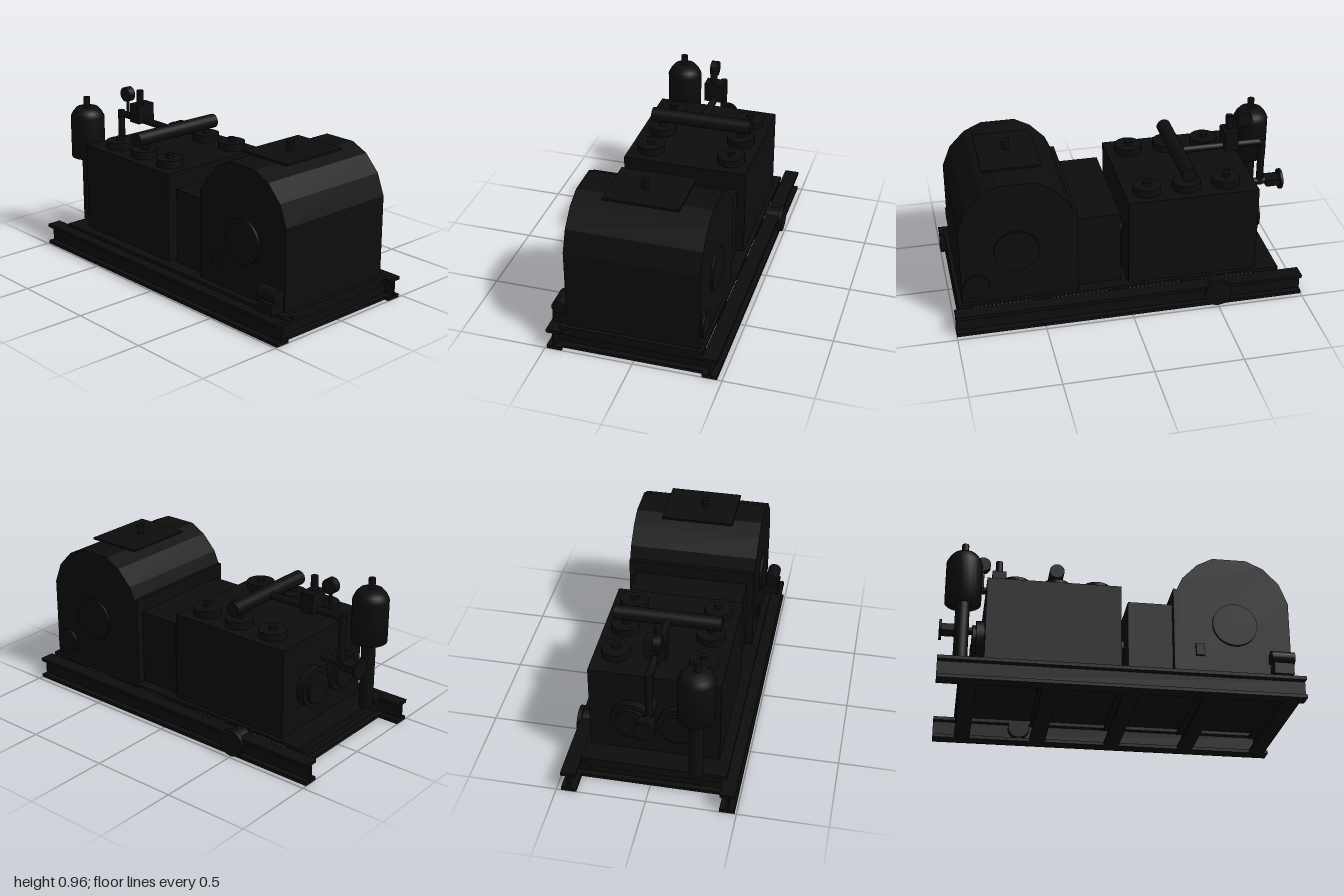
import * as THREE from 'three';

export function createModel() {
  const model = new THREE.Group();
  model.name = 'skidPump';
  const black = new THREE.MeshStandardMaterial({ color: 0x0d0d0d });
  black.name = 'black paint';

  const add = (name, geo, x = 0, y = 0, z = 0) => {
    const m = new THREE.Mesh(geo, black);
    m.name = name;
    m.position.set(x, y, z);
    model.add(m);
    return m;
  };
  // Box from its limits on each axis
  const box = (name, [x0, x1], [y0, y1], [z0, z1]) =>
    add(name, new THREE.BoxGeometry(x1 - x0, y1 - y0, z1 - z0),
      (x0 + x1) / 2, (y0 + y1) / 2, (z0 + z1) / 2);
  // Cylinder along an axis, from a to b; u and v are the other two coordinates in xyz order
  const rod = (name, axis, r, [a, b], u, v, sides = 24) => {
    const g = new THREE.CylinderGeometry(r, r, b - a, sides);
    const mid = (a + b) / 2;
    if (axis === 'x') { g.rotateZ(Math.PI / 2); return add(name, g, mid, u, v); }
    if (axis === 'z') { g.rotateX(Math.PI / 2); return add(name, g, u, v, mid); }
    return add(name, g, u, mid, v);
  };

  // Skid: two I-beam rails
  for (const z of [0.4475, -0.43]) {
    box('railBottomFlange', [-1, 1], [0, 0.02], [z - 0.0425, z + 0.0425]);
    box('railTopFlange', [-1, 1], [0.107, 0.127], [z - 0.0425, z + 0.0425]);
    box('railWeb', [-1, 1], [0.02, 0.107], [z - 0.007, z + 0.007]);
  }
  // Cross members and deck
  for (let i = 0; i < 5; i++) {
    const x = -0.83 + i * 0.44;
    box('crossBottomFlange', [x - 0.045, x + 0.045], [0.002, 0.02], [-0.39, 0.405]);
    box('crossTopFlange', [x - 0.045, x + 0.045], [0.09, 0.107], [-0.39, 0.405]);
    box('crossWeb', [x - 0.01, x + 0.01], [0.02, 0.09], [-0.42, 0.44]);
    box('crossPad', [x - 0.045, x + 0.045], [0.107, 0.126], [-0.345, 0.345]);
  }
  box('deck', [-0.88, 0.975], [0.126, 0.146], [-0.385, 0.425]);

  // Flanged connection through the rear rail
  rod('drainPipe', 'z', 0.062, [-0.466, -0.385], -0.5, 0.084);
  rod('drainFlange', 'z', 0.079, [-0.49, -0.466], -0.5, 0.084);

  // Crankcase with faceted crown
  const outline = [[0.29, 0.145], [0.95, 0.145], [0.95, 0.615], [0.903, 0.735], [0.815, 0.827],
    [0.715, 0.873], [0.52, 0.873], [0.43, 0.825], [0.343, 0.735], [0.312, 0.665], [0.29, 0.665]];
  const shape = new THREE.Shape(outline.map(([x, y]) => new THREE.Vector2(x, y)));
  add('crankcase', new THREE.ExtrudeGeometry(shape, { depth: 0.75, bevelEnabled: false }), 0, 0, -0.365);
  box('inspectionLid', [0.455, 0.785], [0.872, 0.884], [-0.2, 0.22]);
  rod('breather', 'y', 0.022, [0.88, 0.937], 0.62, 0.03, 16);
  rod('frontBearingCover', 'z', 0.127, [0.38, 0.4], 0.635, 0.457, 32);
  rod('rearBearingCover', 'z', 0.127, [-0.378, -0.36], 0.635, 0.457, 32);
  rod('pinionCover', 'z', 0.075, [-0.378, -0.36], 0.865, 0.25);
  box('sightGlass', [0.41, 0.46], [0.26, 0.33], [0.38, 0.4]);

  // Lubrication pump at the front corner
  box('oilPumpFoot', [0.83, 0.94], [0.145, 0.21], [0.385, 0.47]);
  rod('oilPump', 'x', 0.04, [0.82, 0.95], 0.25, 0.43, 20);

  // Crosshead housing and the stuffing boxes joining it to the fluid end
  box('crossheadHousing', [0.04, 0.3], [0.145, 0.585], [-0.32, 0.34]);
  for (const z of [-0.12, 0.14]) {
    rod('stuffingBox', 'x', 0.057, [-0.02, 0.06], 0.378, z);
    rod('endFlange', 'x', 0.115, [-0.795, -0.74], 0.378, z, 28);
    rod('endCap', 'x', 0.09, [-0.815, -0.79], 0.378, z);
  }

  // Fluid end with two rows of valve covers
  box('fluidEnd', [-0.75, 0], [0.145, 0.667], [-0.36, 0.365]);
  for (const z of [-0.24, 0.24]) {
    for (const x of [-0.585, -0.357, -0.128]) {
      rod('valveCover', 'y', 0.08, [0.66, 0.71], x, z);
      rod('valveCoverNut', 'y', 0.023, [0.7, 0.732], x, z, 12);
    }
  }

  // Discharge manifold and pipe
  rod('manifold', 'z', 0.042, [-0.3, 0.3], -0.357, 0.773);
  for (const z of [-0.24, 0.24]) rod('manifoldRiser', 'y', 0.022, [0.7, 0.76], -0.357, z, 16);
  rod('dischargePipe', 'x', 0.021, [-0.87, -0.357], 0.77, 0, 16);
  rod('dischargeDrop', 'y', 0.021, [0.49, 0.79], -0.87, 0, 16);
  rod('dischargeInlet', 'x', 0.021, [-0.92, -0.74], 0.505, 0, 16);
  box('outletBody', [-0.985, -0.9], [0.485, 0.525], [-0.045, 0.045]);
  rod('outletFlange', 'x', 0.06, [-1, -0.985], 0.505, 0);

  // Relief valve and pressure gauge
  box('reliefValveBody', [-0.71, -0.63], [0.76, 0.875], [-0.06, 0.06]);
  rod('reliefValveStem', 'y', 0.021, [0.87, 0.957], -0.67, 0.012, 16);
  rod('gaugeStem', 'y', 0.009, [0.77, 0.88], -0.765, 0.03, 12);
  rod('gauge', 'z', 0.044, [0.008, 0.052], -0.765, 0.918, 24);

  // Pulsation damper on its stand pipe
  const profile = [[0, 0.55], [0.102, 0.55], [0.102, 0.8], [0.086, 0.832], [0.066, 0.855], [0, 0.86]];
  const damper = new THREE.LatheGeometry(profile.map(([r, y]) => new THREE.Vector2(r, y)), 24);
  add('damper', damper, -0.877, 0, 0.255);
  rod('damperValve', 'y', 0.02, [0.85, 0.92], -0.877, 0.258, 16);
  rod('damperStand', 'y', 0.04, [0.145, 0.56], -0.877, 0.255, 20);

  return model;
}
